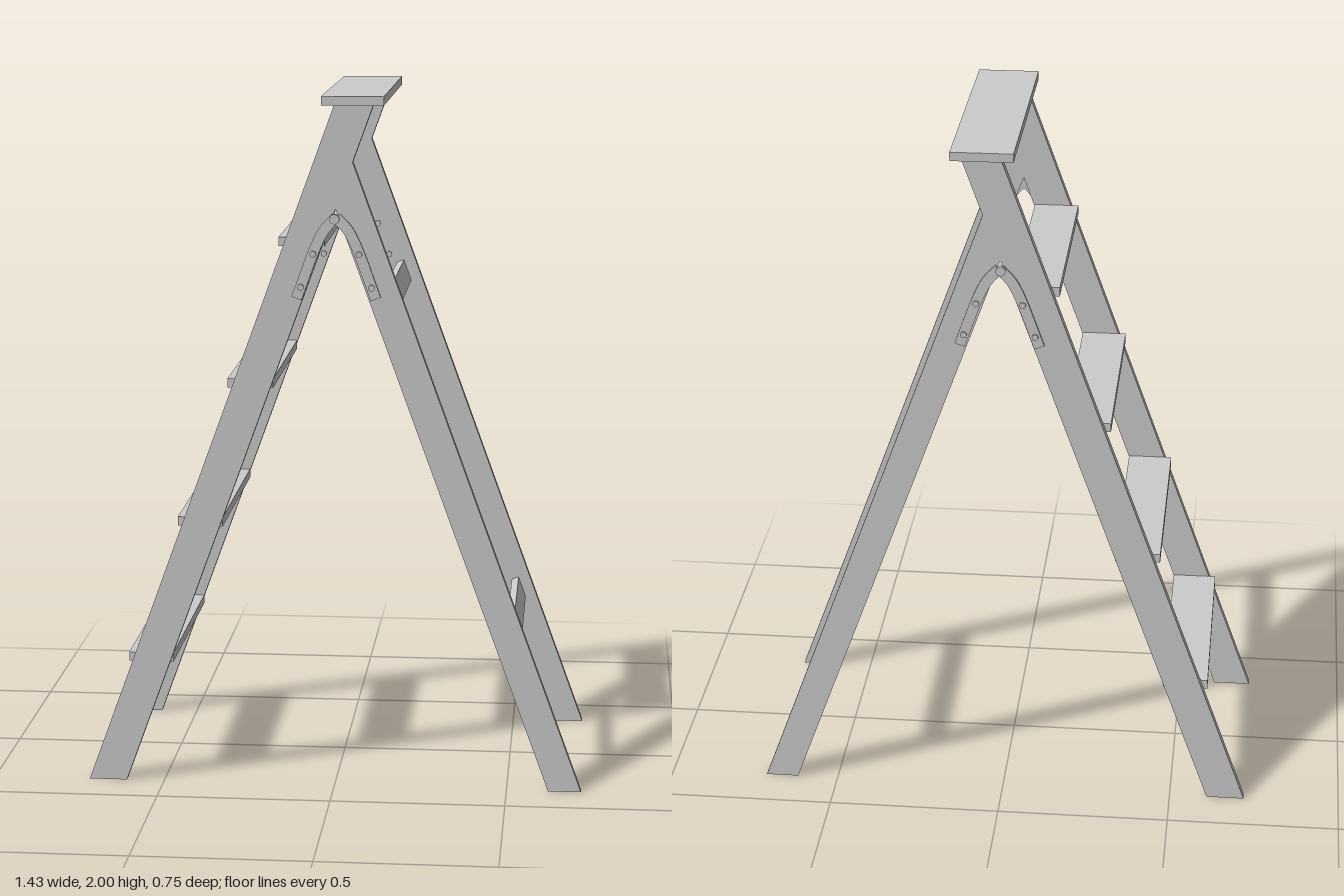
import * as THREE from 'three';

const mat = new THREE.MeshStandardMaterial({ color: 0xcccccc, roughness: 0.8 });

function add(group, name, geometry, x = 0, y = 0, z = 0) {
  const mesh = new THREE.Mesh(geometry, mat);
  mesh.name = name;
  mesh.position.set(x, y, z);
  group.add(mesh);
  return mesh;
}

// Flat plate from an outline in the x-y plane, centred on its thickness
function plate(points, depth) {
  const shape = new THREE.Shape(points.map(([x, y]) => new THREE.Vector2(x, y)));
  return new THREE.ExtrudeGeometry(shape, { depth, bevelEnabled: false }).translate(0, 0, -depth / 2);
}

// Strap of constant width that follows a curve from the pivot down a stile
function strap(points, width, depth) {
  const curve = new THREE.CatmullRomCurve3(points.map(([x, y]) => new THREE.Vector3(x, y, 0)));
  const left = [], right = [];
  for (let i = 0; i <= 16; i++) {
    const p = curve.getPointAt(i / 16), t = curve.getTangentAt(i / 16);
    const nx = -t.y * width / 2, ny = t.x * width / 2;
    left.push([p.x + nx, p.y + ny]);
    right.unshift([p.x - nx, p.y - ny]);
  }
  return plate([...left, ...right], depth);
}

function pin(radius, length) {
  return new THREE.CylinderGeometry(radius, radius, length, 16).rotateX(Math.PI / 2);
}

export function createModel() {
  const ladder = new THREE.Group();
  ladder.name = 'stepladder';

  // Top cap
  add(ladder, 'topCap', new THREE.BoxGeometry(0.175, 0.025, 0.75), 0.0525, 1.9875, 0);

  // Side stiles and hinges, the same on both sides
  for (const s of [-1, 1]) {
    const side = s > 0 ? 'front' : 'back';
    add(ladder, side + 'StepStile',
      plate([[-0.72, 0], [-0.61, 0], [0.11, 1.975], [0, 1.975]], 0.028), 0, 0, s * 0.345);
    add(ladder, side + 'SupportStile',
      plate([[0.62, 0], [0.715, 0], [0.052, 1.816], [0.004, 1.685]], 0.028), 0, 0, s * 0.345);

    const hinge = new THREE.Group();
    hinge.name = side + 'Hinge';
    ladder.add(hinge);
    add(hinge, 'hingePin', pin(0.014, 0.014), 0.002, 1.657, s * 0.364);
    for (const m of [-1, 1]) {
      const px = (x) => 0.006 + m * x;
      add(hinge, 'hingeStrap',
        strap([[px(0), 1.662], [px(0.032), 1.628], [px(0.055), 1.585], [px(0.112), 1.432]], 0.03, 0.007),
        0, 0, s * 0.362);
      // Bolts pass right through the stile
      for (const [x, y] of [[0.065, 1.558], [0.1, 1.464]]) {
        add(hinge, 'hingeBolt', pin(0.009, 0.046), px(x), y, s * 0.348);
      }
    }
  }

  // Treads
  for (let i = 0; i < 4; i++) {
    add(ladder, 'tread' + (i + 1), new THREE.BoxGeometry(0.13, 0.026, 0.664),
      -0.537 + i * 0.1475, 0.367 + i * 0.407, 0);
  }

  // Cross rails tilted with the support stiles
  for (const y of [0.425, 1.412]) {
    const rail = add(ladder, y < 1 ? 'lowerRail' : 'upperRail',
      new THREE.BoxGeometry(0.022, 0.067, 0.664), 0.6675 - 0.365 * y, y, 0);
    rail.rotation.z = Math.atan(0.365);
  }

  return ladder;
}
